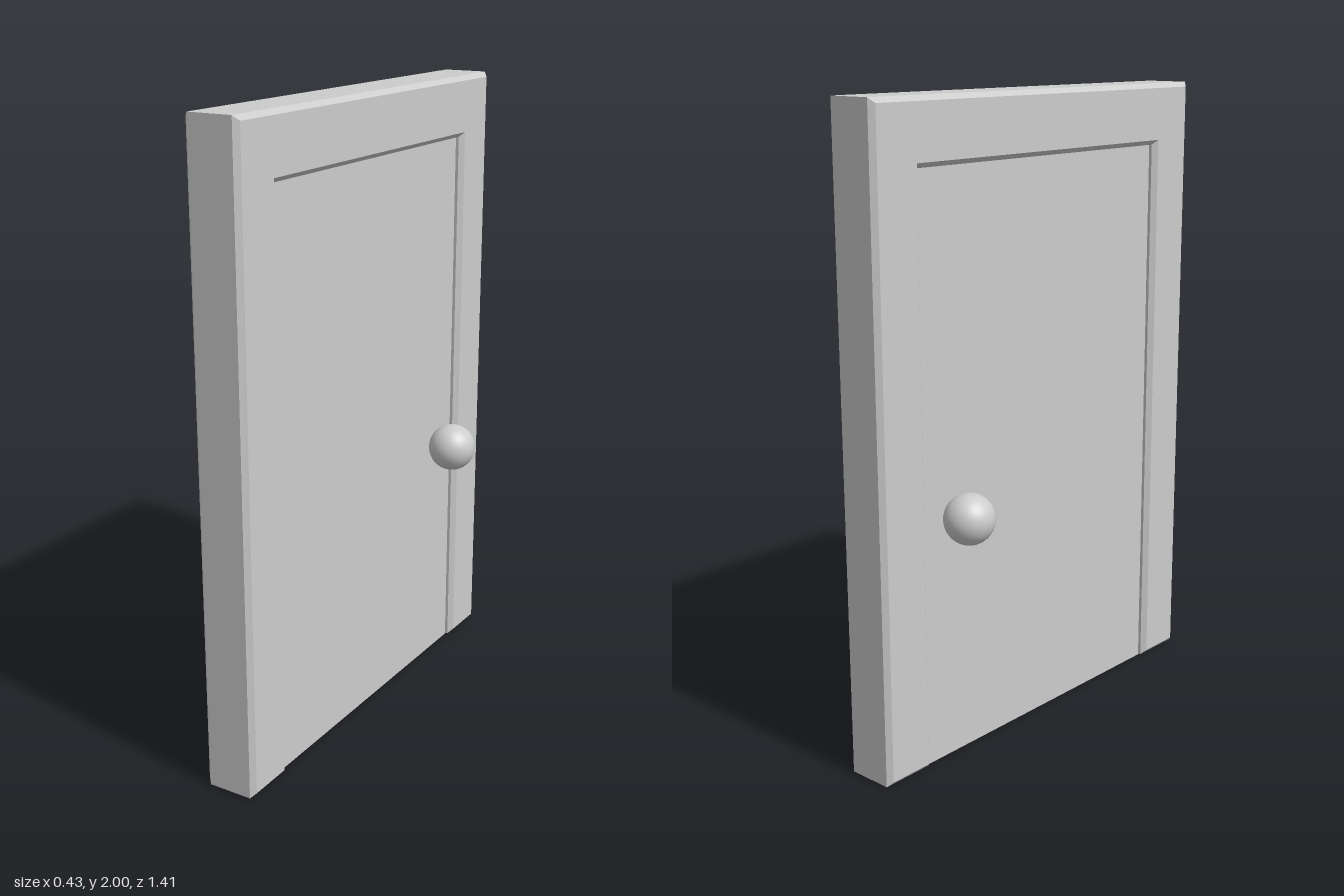
import * as THREE from 'three';

export function createModel() {
  const model = new THREE.Group();
  model.name = 'door';
  const grey = new THREE.MeshStandardMaterial({ color: 0xcccccc });
  grey.name = 'light grey';

  const add = (name, geometry, x, y, z) => {
    const mesh = new THREE.Mesh(geometry, grey);
    mesh.name = name;
    mesh.position.set(x, y, z);
    model.add(mesh);
  };

  // Door frame: an upside-down U with chamfered edges, extruded across x
  const centreX = -0.003, halfDepth = 0.087, bevel = 0.015;
  const outer = 0.707, inner = 0.532, top = 2, lintel = 1.805, base = 0.004;
  const profile = new THREE.Shape([
    [-outer, base], [-inner, base], [-inner, lintel], [inner, lintel],
    [inner, base], [outer, base], [outer, top], [-outer, top],
  ].map(([z, y]) => new THREE.Vector2(z, y)));
  const frame = new THREE.ExtrudeGeometry(profile, {
    depth: 2 * (halfDepth - bevel),
    bevelThickness: bevel,
    bevelSize: bevel,
    bevelOffset: -bevel,
    bevelSegments: 1,
  });
  frame.translate(0, 0, bevel - halfDepth);
  frame.rotateY(-Math.PI / 2);
  add('doorFrame', frame, centreX, 0, 0);

  // Door leaf, slightly recessed in the frame
  const leafTop = 1.815;
  add('doorLeaf', new THREE.BoxGeometry(0.124, leafTop, 1.075), centreX, leafTop / 2, 0);

  // Round knob on each side
  for (const side of [-1, 1]) {
    add(side > 0 ? 'leftKnob' : 'rightKnob',
      new THREE.SphereGeometry(0.078, 32, 20), centreX + side * 0.137, 0.78, -0.409);
  }
  return model;
}
